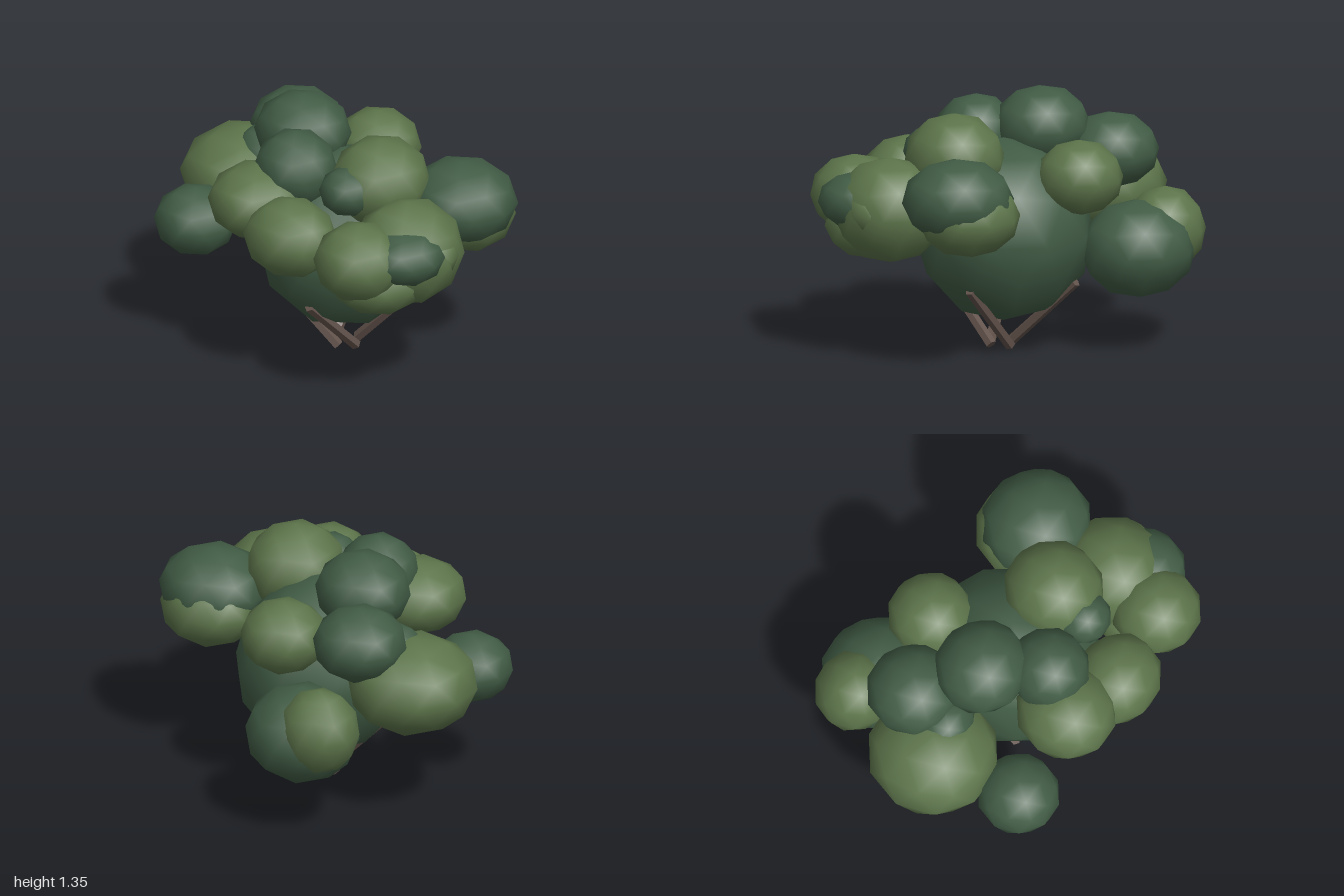
import * as THREE from 'three';

function material(name, color) {
  const m = new THREE.MeshStandardMaterial({ color });
  m.name = name;
  return m;
}

export function createModel() {
  const group = new THREE.Group();
  group.name = 'bush';
  const light = material('light leaf green', 0x5c744a);
  const dark = material('dark leaf green', 0x415c45);
  const bark = material('bark brown', 0x62524b);

  // Low-poly ball with smooth normals and a corner at each pole
  const ball = new THREE.IcosahedronGeometry(1, 1);
  ball.rotateZ(Math.atan(2 / (1 + Math.sqrt(5)))).rotateY(-Math.PI / 2);

  function addClump(name, mat, [x, y, z], [rx, ry, rz]) {
    const mesh = new THREE.Mesh(ball.clone().scale(rx, ry, rz), mat);
    mesh.name = name;
    mesh.position.set(x, y, z);
    group.add(mesh);
  }

  // Large core of the crown
  addClump('crownCore', dark, [0.06, 0.63, 0.02], [0.46, 0.49, 0.49]);

  // Leaf clumps: centre and radii
  const darkClumps = [
    [[-0.5, 1.0, -0.22], [0.25, 0.2, 0.25]],
    [[-0.39, 0.54, -0.52], [0.31, 0.26, 0.3]],
    [[-0.235, 1.135, 0.03], [0.26, 0.21, 0.25]],
    [[-0.03, 1.08, 0.31], [0.22, 0.21, 0.22]],
    [[0.32, 1.05, 0.29], [0.15, 0.13, 0.15]],
    [[0.65, 0.925, -0.23], [0.3, 0.22, 0.29]],
    [[0.79, 0.85, 0.36], [0.21, 0.15, 0.22]],
    [[-0.57, 0.675, 0.49], [0.22, 0.185, 0.22]],
    [[-0.53, 0.9, 0.0], [0.18, 0.15, 0.15]],
  ];
  const lightClumps = [
    [[-0.655, 0.755, 0.01], [0.345, 0.26, 0.35]],
    [[-0.56, 0.62, -0.55], [0.22, 0.23, 0.21]],
    [[-0.09, 0.95, -0.39], [0.23, 0.2, 0.23]],
    [[0.36, 1.05, 0.08], [0.26, 0.24, 0.27]],
    [[0.62, 0.84, -0.28], [0.28, 0.21, 0.26]],
    [[0.69, 0.805, 0.23], [0.29, 0.28, 0.31]],
    [[0.63, 0.83, 0.54], [0.24, 0.21, 0.24]],
    [[0.64, 0.69, 0.41], [0.25, 0.18, 0.25]],
    [[0.19, 0.85, 0.59], [0.26, 0.21, 0.23]],
    [[-0.13, 0.93, 0.49], [0.26, 0.2, 0.27]],
    [[0.83, 0.82, 0.21], [0.15, 0.13, 0.15]],
  ];
  darkClumps.forEach(([c, r], i) => addClump('darkLeafClump' + (i + 1), dark, c, r));
  lightClumps.forEach(([c, r], i) => addClump('lightLeafClump' + (i + 1), light, c, r));

  // Straight stems splaying out from the ground: base and tip
  const stems = [
    [[0.08, 0.02, 0.1], [-0.25, 0.39, 0.25]],
    [[-0.01, 0.02, 0.03], [-0.1, 0.38, -0.35]],
    [[0.14, 0.02, 0.03], [0.14, 0.36, 0.39]],
    [[0.08, 0.02, -0.05], [0.43, 0.38, -0.1]],
  ];
  const up = new THREE.Vector3(0, 1, 0);
  stems.forEach(([base, tip], i) => {
    const a = new THREE.Vector3(...base);
    const b = new THREE.Vector3(...tip);
    const along = b.clone().sub(a);
    const geometry = new THREE.CylinderGeometry(0.027, 0.029, along.length(), 5).toNonIndexed();
    geometry.computeVertexNormals();
    const stem = new THREE.Mesh(geometry, bark);
    stem.name = 'stem' + (i + 1);
    stem.position.copy(a).add(b).multiplyScalar(0.5);
    stem.quaternion.setFromUnitVectors(up, along.normalize());
    group.add(stem);
  });

  return group;
}
